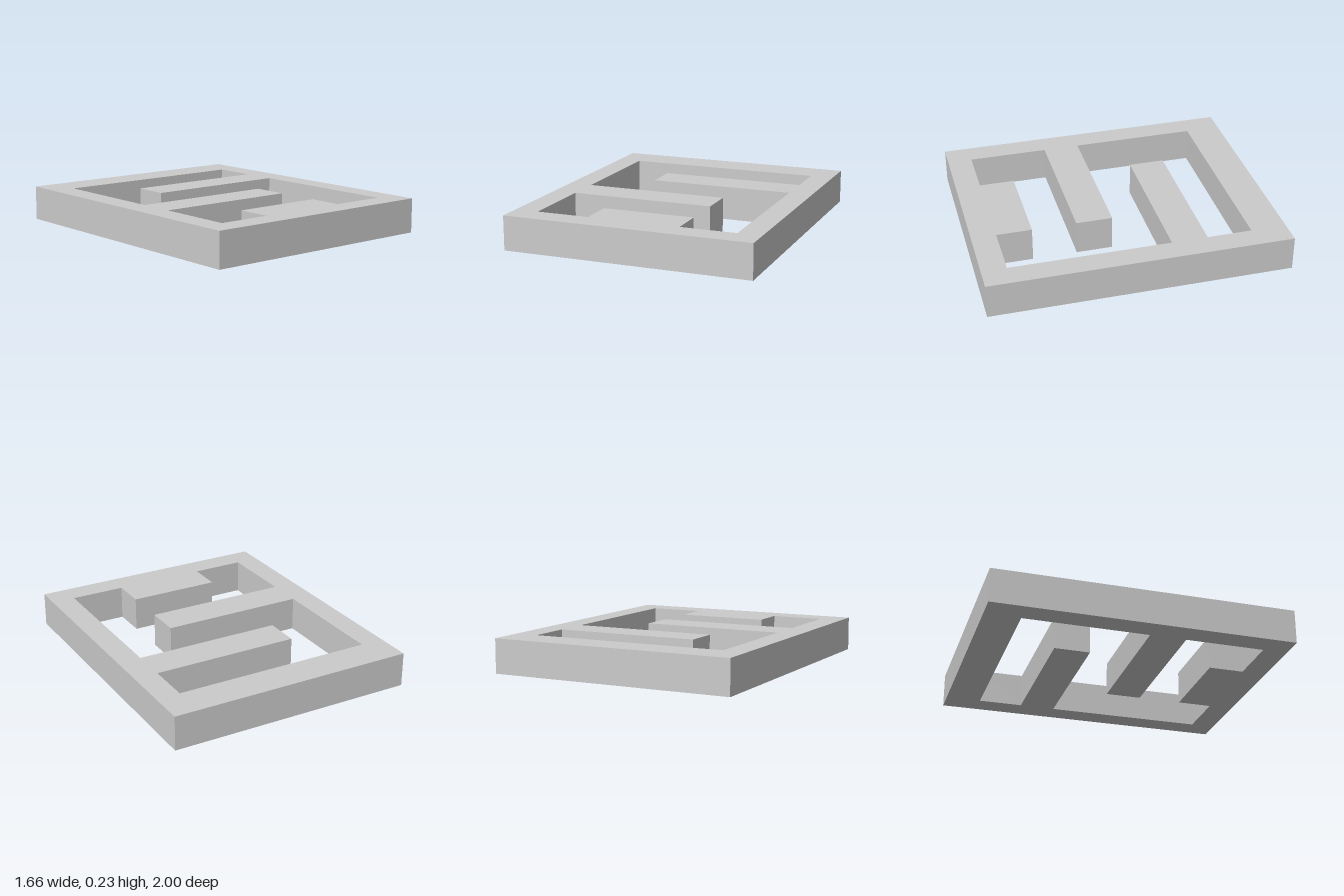
import * as THREE from 'three';

const HEIGHT = 0.23;

// Plan points are [x, z]; the shape lies in x/-z so it can be laid flat
const toPlan = (points) => points.map(([x, z]) => new THREE.Vector2(x, -z));

export function createModel() {
  const group = new THREE.Group();
  group.name = 'mazeFrame';

  // Outer rectangle
  const plan = new THREE.Shape(toPlan([[-0.83, 1], [0.83, 1], [0.83, -1], [-0.83, -1]]));

  // One winding opening, leaving two staggered bars and a front block
  plan.holes.push(new THREE.Path(toPlan([
    [-0.672, -0.764], [0.672, -0.764],
    [0.672, -0.467], [-0.317, -0.467], [-0.317, -0.228], [0.672, -0.228], // bar from the left side
    [0.672, 0.836],
    [0.302, 0.836], [0.302, 0.602], [-0.317, 0.602], [-0.317, 0.836], // front block
    [-0.672, 0.836],
    [-0.672, 0.308], [0.302, 0.308], [0.302, 0.066], [-0.672, 0.066], // bar from the right side
  ])));

  const geometry = new THREE.ExtrudeGeometry(plan, { depth: HEIGHT, bevelEnabled: false });
  geometry.rotateX(-Math.PI / 2);

  const frame = new THREE.Mesh(
    geometry,
    new THREE.MeshStandardMaterial({ color: 0xcccccc, flatShading: true }),
  );
  frame.name = 'frameWithBars';
  group.add(frame);
  return group;
}
